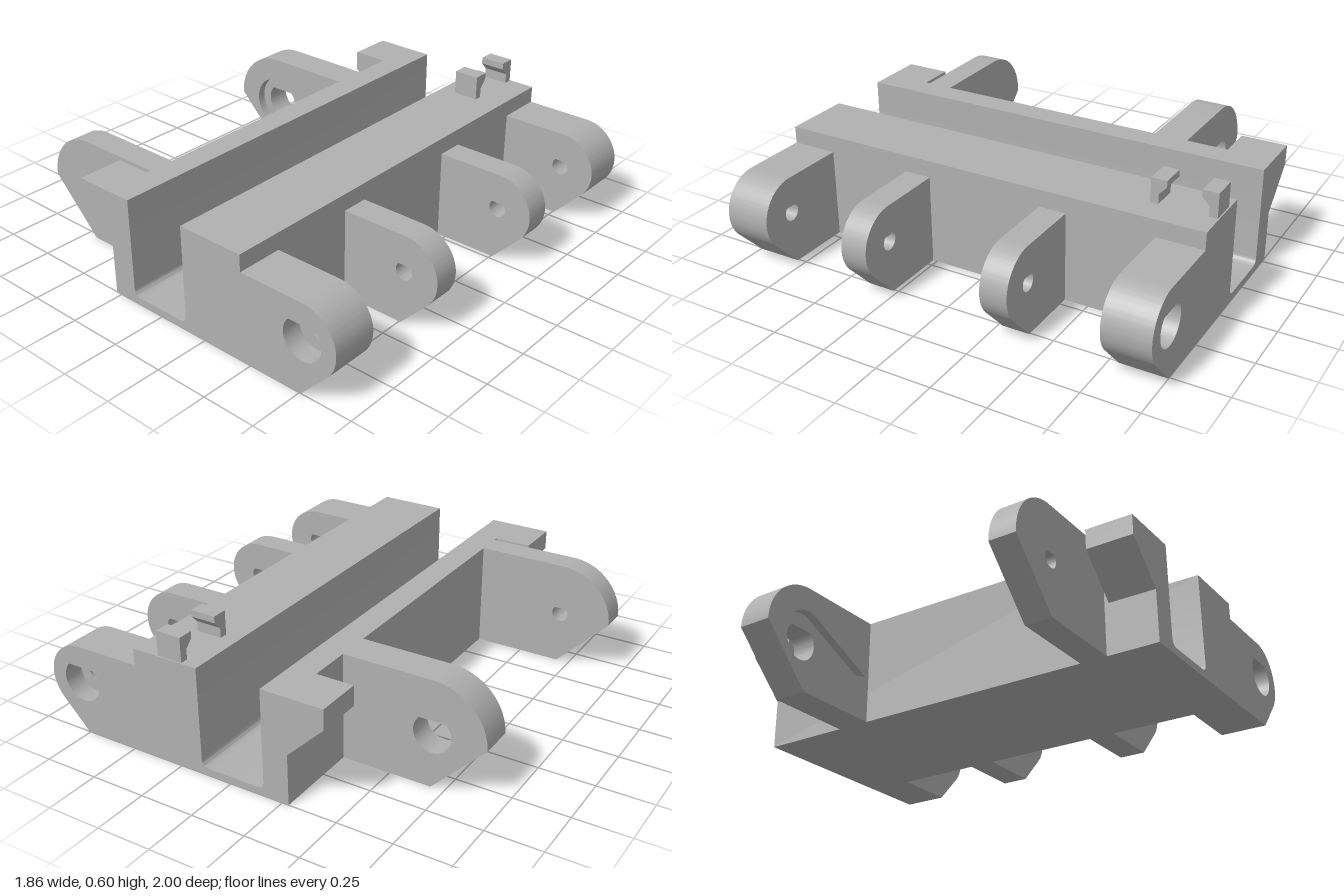
import * as THREE from 'three';
import { toCreasedNormals } from 'three/addons/utils/BufferGeometryUtils.js';

const grey = new THREE.MeshStandardMaterial({ color: 0xb0b0b0 });
grey.name = 'grey';

const polygon = (pts) => new THREE.Shape(pts.map(([x, y]) => new THREE.Vector2(x, y)));

// Solid made from an x-y shape running from z0 to z1
function slab(name, shape, z0, z1) {
  const geo = new THREE.ExtrudeGeometry(shape, { depth: z1 - z0, bevelEnabled: false, curveSegments: 24 });
  geo.translate(0, 0, z0);
  const mesh = new THREE.Mesh(toCreasedNormals(geo, 0.5), grey);
  mesh.name = name;
  return mesh;
}

// Round hole with a 45 degree pointed roof
function teardrop(x, y, r) {
  const p = new THREE.Path();
  p.moveTo(x, y + r * Math.SQRT2);
  p.absarc(x, y, r, Math.PI * 0.75, Math.PI * 2.25, false);
  p.closePath();
  return p;
}

// Hinge lug outlines, each with one hole
const RX = 0.765, LX = -0.69, HY = 0.245;
function rightLug(hole) {
  const s = new THREE.Shape();
  s.moveTo(0.46, 0);
  s.lineTo(0.757, 0);
  s.absarc(RX, HY, 0.163, -Math.PI / 4, Math.PI / 2, false);
  s.lineTo(0.46, 0.408);
  s.closePath();
  s.holes.push(hole);
  return s;
}
function leftLug(hole) {
  const s = new THREE.Shape();
  s.moveTo(-0.28, 0);
  s.lineTo(-0.28, 0.485);
  s.lineTo(LX, 0.485);
  s.absarc(LX, HY, 0.24, Math.PI / 2, Math.PI, false);
  s.lineTo(LX, 0);
  s.closePath();
  s.holes.push(hole);
  return s;
}

// Tapered recess: round hub with an arm narrowing toward the body
function armPocket() {
  const p = new THREE.Path(), a = 1.33;
  p.moveTo(-0.3, HY + 0.035);
  p.absarc(LX, HY, 0.13, a, Math.PI * 2 - a, false);
  p.lineTo(-0.3, HY - 0.035);
  p.closePath();
  return p;
}

export function createModel() {
  const model = new THREE.Group();
  model.name = 'hingeBracket';

  // Long body with a filleted channel
  const body = new THREE.Shape();
  const f = 0.03, floor = 0.033;
  body.moveTo(-0.28, 0);
  body.lineTo(0.46, 0);
  body.lineTo(0.46, 0.485);
  body.lineTo(0.143, 0.485);
  body.lineTo(0.143, floor + f);
  body.absarc(0.143 - f, floor + f, f, 0, -Math.PI / 2, true);
  body.absarc(-0.162 + f, floor + f, f, -Math.PI / 2, -Math.PI, true);
  body.lineTo(-0.162, 0.485);
  body.lineTo(-0.28, 0.485);
  body.closePath();
  model.add(slab('channelBody', body, -1, 1));

  // Right hinge: wide outer lugs with counterbores, thin inner lugs
  const small = () => rightLug(teardrop(RX, HY, 0.04));
  const wide = () => rightLug(teardrop(RX, HY, 0.093));
  model.add(
    slab('frontOuterLug', small(), 0.79, 0.91),
    slab('frontCounterbore', wide(), 0.91, 1),
    slab('backOuterLug', small(), -0.91, -0.79),
    slab('backCounterbore', wide(), -1, -0.91),
    slab('frontInnerLug', small(), 0.27, 0.393),
    slab('backInnerLug', small(), -0.393, -0.27)
  );

  // Left hinge: plain front lug, back lug with a recessed inner face
  model.add(
    slab('leftFrontLug', leftLug(teardrop(LX, HY, 0.038)), 0.65, 0.77),
    slab('leftBackLug', leftLug(teardrop(LX, HY, 0.085)), -0.6, -0.485),
    slab('leftBackLugRecess', leftLug(armPocket()), -0.485, -0.445)
  );

  // Overhanging stop blocks at both ends of the left side
  const stop = polygon([[-0.28, 0.23], [-0.28, 0.485], [-0.45, 0.485], [-0.45, 0.395]]);
  model.add(slab('frontStop', stop, 0.79, 1), slab('backStop', stop, -1, -0.79));

  // Pair of facing snap hooks, drawn in z-y and run along x
  for (const [name, z, d] of [['frontHook', -0.706, -1], ['backHook', -0.994, 1]]) {
    const pts = [[0, 0.485], [0.036, 0.485], [0.036, 0.53], [0.07, 0.565], [0.07, 0.595], [0, 0.595]];
    const hook = slab(name, polygon(pts.map(([a, y]) => [z + d * a, y])), 0, 0.118);
    hook.geometry.rotateY(-Math.PI / 2).translate(0.336, 0, 0);
    model.add(hook);
  }
  return model;
}
